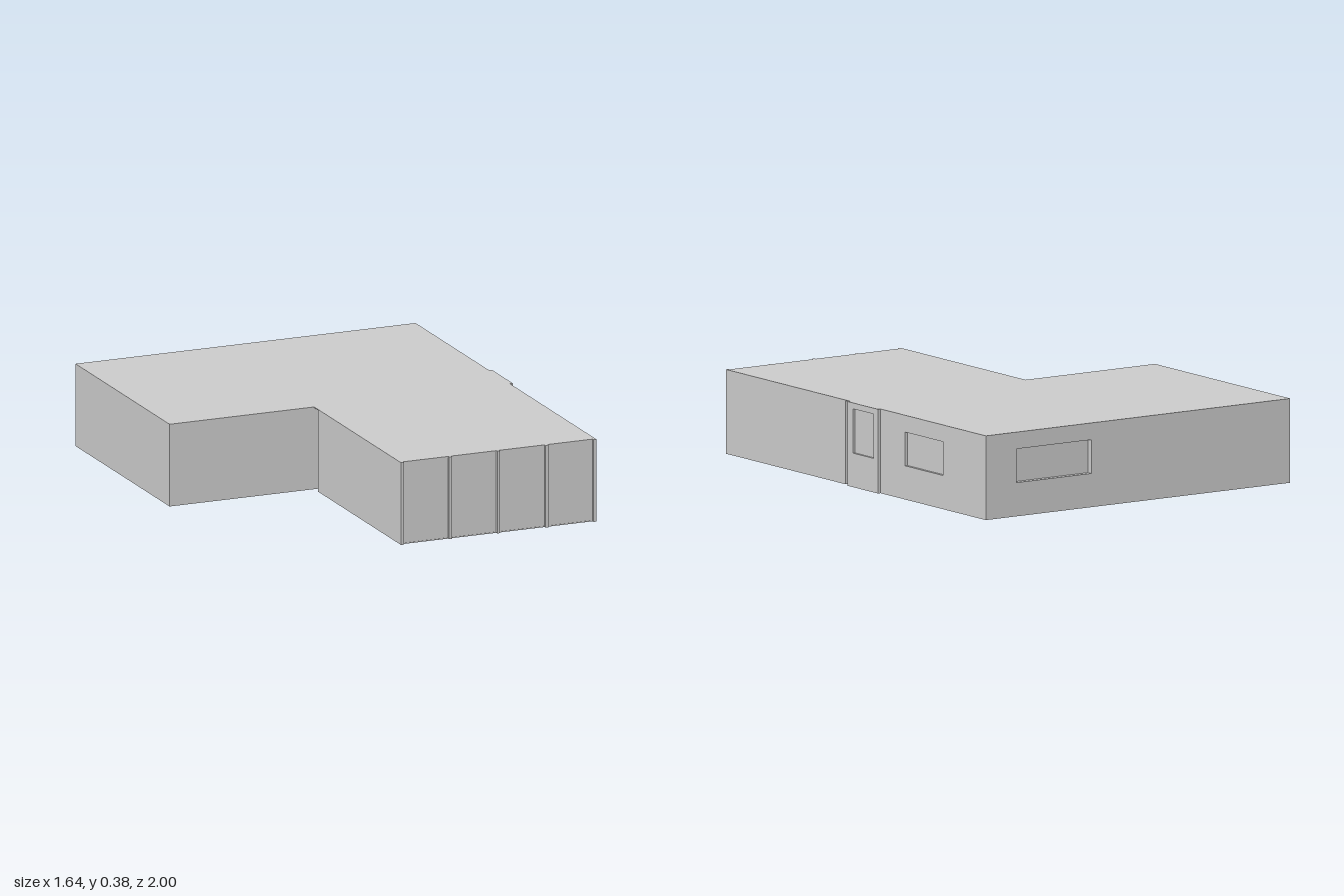
import * as THREE from 'three';

const H = 0.375, T = 0.03, SLAB = 0.004;
const mat = new THREE.MeshStandardMaterial({ color: 0xcccccc, flatShading: true });

function addMesh(parent, name, geometry) {
  const mesh = new THREE.Mesh(geometry, mat);
  mesh.name = name;
  parent.add(mesh);
  return mesh;
}

// Box given by its two opposite corners
function block(parent, name, [x0, y0, z0], [x1, y1, z1]) {
  const g = new THREE.BoxGeometry(x1 - x0, y1 - y0, z1 - z0);
  g.translate((x0 + x1) / 2, (y0 + y1) / 2, (z0 + z1) / 2);
  return addMesh(parent, name, g);
}

function rectangle(target, [u0, v0, u1, v1]) {
  target.moveTo(u0, v0).lineTo(u1, v0).lineTo(u1, v1).lineTo(u0, v1).closePath();
  return target;
}

// Upright wall with rectangular openings. Facing 'z': u = x. Facing 'x': u = -z.
function wall(parent, name, facing, u0, u1, depth0, depth1, openings = []) {
  const shape = rectangle(new THREE.Shape(), [u0, SLAB, u1, H - SLAB]);
  for (const o of openings) shape.holes.push(rectangle(new THREE.Path(), o));
  const g = new THREE.ExtrudeGeometry(shape, { depth: depth1 - depth0, bevelEnabled: false });
  g.translate(0, 0, depth0);
  if (facing === 'x') g.rotateY(Math.PI / 2);
  return addMesh(parent, name, g);
}

export function createModel() {
  const model = new THREE.Group();
  model.name = 'house';

  // L-shaped flat roof over both blocks
  const outline = new THREE.Shape();
  [[-0.82, 1], [0.803, 1], [0.803, -0.99], [-0.13, -0.99], [-0.13, -0.04], [-0.82, -0.04]]
    .forEach(([x, y], i) => (i ? outline.lineTo(x, y) : outline.moveTo(x, y)));
  const roof = new THREE.ExtrudeGeometry(outline, { depth: SLAB, bevelEnabled: false });
  roof.rotateX(-Math.PI / 2).translate(0, H - SLAB, 0);
  addMesh(model, 'roof', roof);

  // Main block
  const main = new THREE.Group();
  main.name = 'mainBlock';
  model.add(main);
  const door = [0.19, SLAB + 0.001, 0.39, 0.32];
  block(main, 'mainFloor', [-0.82, 0, -1], [0.803, SLAB, 0.04]);
  wall(main, 'backWall', 'z', -0.82, 0.803, -1, -1 + T, [[0.24, 0.15, 0.64, 0.3]]);
  block(main, 'backWindowPane', [0.23, 0.14, -0.975], [0.65, 0.31, -0.968]);
  wall(main, 'frontWall', 'z', -0.82, 0.803, 0.04 - T, 0.04, [door]);
  wall(main, 'leftEndWall', 'x', -0.04 + T, 1 - T, -0.82, -0.82 + T);
  wall(main, 'windowWall', 'x', -0.04 + T, 1 - T, 0.803 - T, 0.803, [[0.38, 0.15, 0.67, 0.3]]);
  block(main, 'sideWindowPane', [0.775, 0.14, -0.68], [0.79, 0.31, -0.37]);

  // Projecting entrance panel with its window
  const entrance = new THREE.Group();
  entrance.name = 'entrance';
  model.add(entrance);
  const panel = wall(entrance, 'entrancePanel', 'x', -0.042, 0.19, 0.8, 0.817, [[0.0, 0.15, 0.155, 0.345]]);
  panel.scale.y = H / (H - SLAB);
  block(entrance, 'entrancePane', [0.8, 0.13, -0.17], [0.807, 0.36, 0.015]);
  block(entrance, 'entranceSill', [0.8, 0, -0.19], [0.817, SLAB + 0.001, 0.042]);

  // Front wing, separated from the main block by a narrow gap
  const wing = new THREE.Group();
  wing.name = 'frontWing';
  model.add(wing);
  block(wing, 'wingFloor', [-0.13, 0, 0.08], [0.803, SLAB, 0.99]);
  wall(wing, 'wingBackWall', 'z', -0.13, 0.803, 0.08, 0.08 + T, [door]);
  for (const x of [-0.13, 0.803 - T]) wall(wing, 'wingSideWall', 'x', -0.985, -0.08 - T, x, x + T);

  // Four front panels between slim posts
  const x0 = -0.13, x1 = 0.803, post = 0.014, pitch = (x1 - x0 - post) / 4;
  for (let i = 0; i <= 4; i++) {
    const x = x0 + i * pitch;
    block(wing, 'frontPost', [x, 0, 0.975], [x + post, H, 1]);
    if (i < 4) block(wing, 'frontPanel', [x + post, SLAB, 0.975], [x + pitch, H - SLAB, 0.988]);
  }

  // Doorway passage bridging the gap
  const passage = new THREE.Group();
  passage.name = 'passage';
  model.add(passage);
  block(passage, 'threshold', [0.19, 0, 0.04], [0.39, SLAB, 0.08]);
  block(passage, 'doorHeader', [0.18, 0.315, 0.04], [0.4, 0.32, 0.08]);
  for (const x of [0.18, 0.39]) block(passage, 'doorJamb', [x, 0, 0.04], [x + 0.01, 0.315, 0.08]);

  return model;
}
